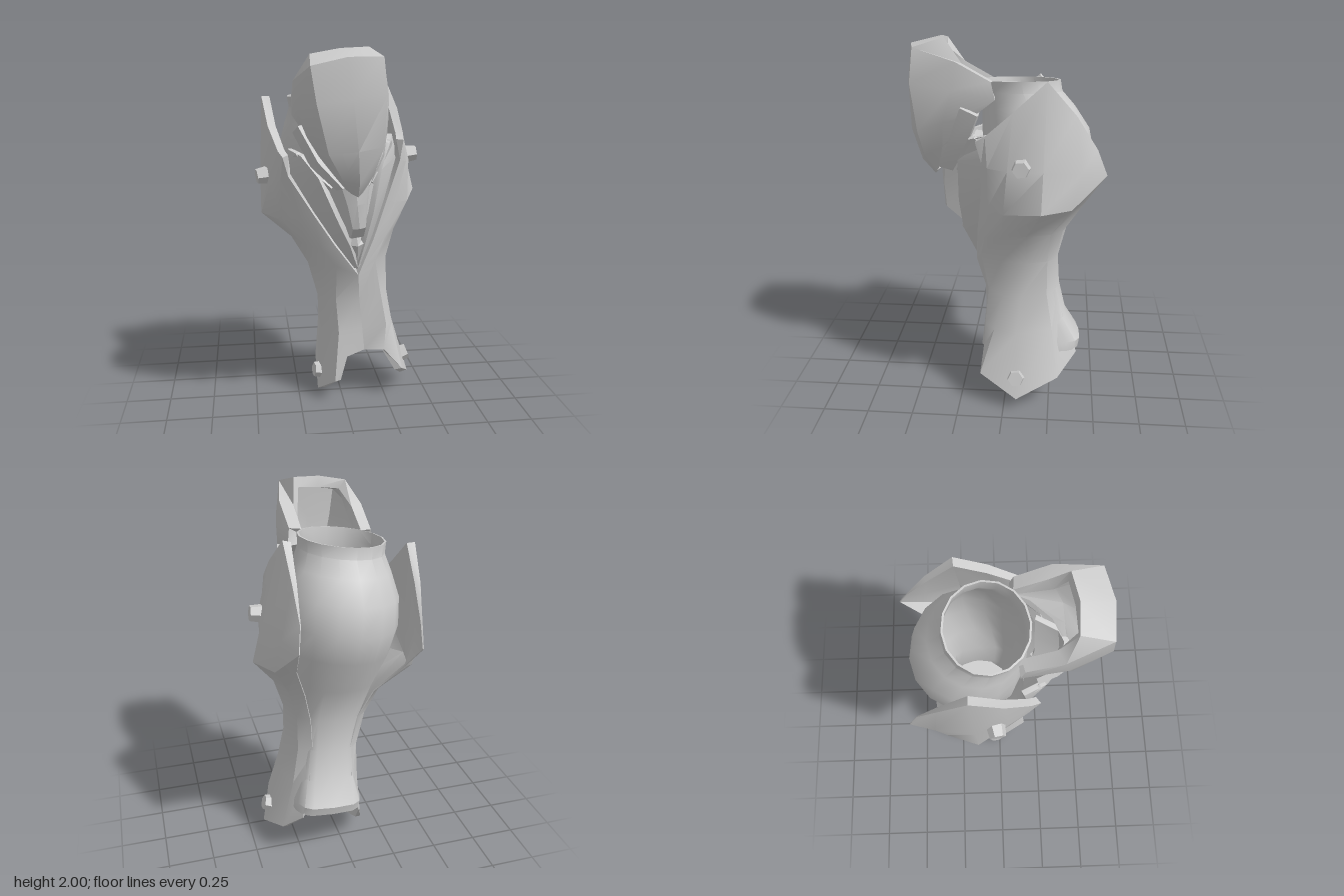
import * as THREE from 'three';
import { toCreasedNormals } from 'three/addons/utils/BufferGeometryUtils.js';

const grey = new THREE.MeshStandardMaterial({ color: 0xcccccc, side: THREE.DoubleSide });
const greyFlat = new THREE.MeshStandardMaterial({ color: 0xcccccc, flatShading: true });

const mirrorRow = row => row.map(([x, y, z]) => [-x, y, z]).reverse();
const mirrorHalf = rows => rows.map(mirrorRow);
// Complete rows that start on the centre line
const bothSides = rows => rows.map(r => [...mirrorRow(r.slice(1)), ...r]);

// Plate from a grid of points (rows upward, columns front to back round +x);
// thickness(c) gives the depth at column c
function plate(name, rows, thickness, crease = 0.6) {
  const R = rows.length, C = rows[0].length, n = R * C;
  const outer = rows.flat(2);
  const at = (r, c) => r * C + c;
  const index = [];
  const quad = (a, b, c, d) => index.push(a, b, c, a, c, d);
  for (let r = 0; r < R - 1; r++)
    for (let c = 0; c < C - 1; c++) quad(at(r, c), at(r, c + 1), at(r + 1, c + 1), at(r + 1, c));

  const skin = new THREE.BufferGeometry();
  skin.setAttribute('position', new THREE.Float32BufferAttribute(outer, 3));
  skin.setIndex([...index]);
  skin.computeVertexNormals();
  const normals = skin.attributes.normal.array;
  const inner = outer.map((v, i) => v - normals[i] * thickness(Math.floor(i / 3) % C));

  for (let i = 0, k = index.length; i < k; i += 3) index.push(index[i] + n, index[i + 2] + n, index[i + 1] + n);
  // Rims
  for (let c = 0; c < C - 1; c++) {
    const a = at(0, c), b = at(0, c + 1), d = at(R - 1, c), e = at(R - 1, c + 1);
    quad(a + n, b + n, b, a);
    quad(d, e, e + n, d + n);
  }
  for (let r = 0; r < R - 1; r++) {
    const a = at(r, 0), b = at(r + 1, 0), d = at(r, C - 1), e = at(r + 1, C - 1);
    quad(a, b, b + n, a + n);
    quad(d, d + n, e + n, e);
  }
  const geo = new THREE.BufferGeometry();
  geo.setAttribute('position', new THREE.Float32BufferAttribute([...outer, ...inner], 3));
  geo.setIndex(index);
  const mesh = new THREE.Mesh(toCreasedNormals(geo, crease), grey);
  mesh.name = name;
  return mesh;
}

// Calf sections: height, half width, front z, back z
const calfSections = [
  [0.27, 0.2, 0.02, -0.41], [0.32, 0.195, 0.02, -0.42], [0.45, 0.16, 0.03, -0.34], [0.62, 0.145, 0.05, -0.3],
  [0.8, 0.18, 0.08, -0.29], [1.0, 0.24, 0.1, -0.35], [1.2, 0.29, 0.12, -0.45],
  [1.35, 0.31, 0.13, -0.48], [1.5, 0.3, 0.13, -0.45], [1.62, 0.26, 0.13, -0.37],
  [1.7, 0.23, 0.13, -0.3], [1.76, 0.235, 0.14, -0.29],
];
// Boxy near the ankle, round at the top
function calfRows() {
  const sides = 16;
  return calfSections.map(([y, rx, zf, zb]) => {
    const e = THREE.MathUtils.clamp(0.5 + (y - 0.7) * 1.2, 0.5, 1);
    const soft = v => Math.sign(v) * Math.abs(v) ** e;
    return Array.from({ length: sides + 1 }, (_, i) => {
      const a = (i % sides) / sides * Math.PI * 2;
      return [rx * soft(Math.sin(a)), y, (zf + zb) / 2 + (zf - zb) / 2 * soft(Math.cos(a))];
    });
  });
}

// Half of the outer shin, ankle flap to side wing, with the V opening at the front
const shinHalf = [
  [[0, .28, .10], [.11, .27, .13], [.20, .14, .15], [.28, .02, -.05], [.24, .13, -.28], [.17, .26, -.39]],
  [[0, .42, .11], [.14, .42, .12], [.185, .40, .07], [.215, .38, -.05], [.195, .40, -.25], [.13, .42, -.325]],
  [[0, .60, .12], [.13, .62, .10], [.185, .60, .02], [.205, .60, -.08], [.175, .60, -.22], [.11, .60, -.28]],
  [[0, .76, .17], [.11, .82, .14], [.20, .80, .03], [.235, .80, -.10], [.20, .80, -.22], [.14, .80, -.27]],
  [[.11, .95, .16], [.18, .93, .12], [.26, .95, .03], [.31, .97, -.10], [.27, .97, -.23], [.20, .97, -.30]],
  [[.21, 1.15, .14], [.27, 1.12, .10], [.36, 1.10, .02], [.455, 1.12, -.17], [.385, 1.13, -.33], [.30, 1.16, -.41]],
  [[.31, 1.36, .13], [.35, 1.34, .10], [.395, 1.33, 0], [.43, 1.33, -.18], [.385, 1.32, -.38], [.335, 1.30, -.51]],
  [[.33, 1.47, .16], [.345, 1.50, .11], [.365, 1.62, -.03], [.36, 1.77, -.20], [.345, 1.60, -.35], [.325, 1.43, -.46]],
];
const shinDepth = [0.04, 0.04, 0.045, 0.045, 0.03, 0.006];

// Knee cap from the tip up, folding back into a broad top rim
const kneeHalf = [
  [[0, 1.25, .39], [.03, 1.27, .38], [.06, 1.30, .36], [.08, 1.33, .33]],
  [[0, 1.33, .46], [.08, 1.36, .44], [.13, 1.42, .34], [.15, 1.45, .28]],
  [[0, 1.50, .515], [.14, 1.50, .47], [.20, 1.55, .33], [.21, 1.60, .15]],
  [[0, 1.75, .525], [.175, 1.75, .50], [.24, 1.72, .28], [.24, 1.67, .06]],
  [[0, 1.95, .505], [.18, 1.93, .48], [.24, 1.86, .26], [.235, 1.76, .08]],
  [[0, 1.99, .34], [.15, 1.98, .32], [.17, 1.85, .23], [.17, 1.76, .07]],
];

// Lining strip inside the V opening
const collarHalf = [
  [[0, .80, .17], [.03, .80, .13]],
  [[.04, .95, .24], [.11, .97, .14]],
  [[.10, 1.12, .26], [.20, 1.15, .12]],
  [[.17, 1.35, .26], [.30, 1.38, .10]],
  [[.24, 1.47, .20], [.29, 1.50, .08]],
];

// Keel closing the foot of the lining
const keelHalf = [
  [[0, .82, .17], [.02, .84, .15]],
  [[0, .95, .25], [.05, .96, .23]],
  [[0, 1.0, .24], [.06, 1.01, .20]],
];

const tongueHalf = [
  [[0, 1.0, .25], [.035, 1.0, .25], [.05, 1.01, .19]],
  [[0, 1.07, .34], [.035, 1.07, .33], [.065, 1.08, .2]],
  [[0, 1.2, .35], [.05, 1.2, .34], [.1, 1.22, .2]],
  [[0, 1.36, .36], [.08, 1.36, .33], [.15, 1.4, .2]],
];

const guardHalf = [
  [[.07, 1.30, .37], [.09, 1.28, .29]],
  [[.17, 1.44, .31], [.20, 1.41, .22]],
  [[.24, 1.63, .24], [.26, 1.59, .15]],
];
const lowerGuardHalf = [
  [[.11, 1.29, .27], [.13, 1.27, .23]],
  [[.19, 1.38, .23], [.22, 1.35, .17]],
  [[.26, 1.48, .17], [.28, 1.45, .11]],
];

function bolt(name, x, y, z, dir) {
  const geo = new THREE.CylinderGeometry(0.042, 0.05, 0.06, 6);
  const mesh = new THREE.Mesh(geo, greyFlat);
  mesh.name = name;
  mesh.position.set(x, y, z);
  mesh.quaternion.setFromUnitVectors(new THREE.Vector3(0, 1, 0), dir.normalize());
  return mesh;
}

export function createModel() {
  const model = new THREE.Group();
  model.name = 'legArmour';
  const leg = new THREE.Group();
  leg.name = 'leg';
  model.add(leg);

  leg.add(plate('calf', calfRows(), () => 0.01));
  leg.add(plate('kneeCap', bothSides(kneeHalf), () => 0.06));
  leg.add(plate('tongue', bothSides(tongueHalf), () => 0.03, 0.4));
  leg.add(plate('keel', bothSides(keelHalf), () => 0.03, 0.4));

  // Floor closing the narrow part of the calf
  const floor = new THREE.Mesh(new THREE.CylinderGeometry(1, 1, 0.02, 12).scale(0.14, 1, 0.17), greyFlat);
  floor.name = 'innerFloor';
  floor.position.set(0, 0.62, -0.125);
  leg.add(floor);

  // Paired plates
  const pairs = [
    ['Collar', collarHalf, 0.03], ['KneeGuard', guardHalf, 0.03], ['LowerKneeGuard', lowerGuardHalf, 0.025],
  ];
  for (const [name, rows, t] of pairs) {
    leg.add(plate('left' + name, rows, () => t));
    leg.add(plate('right' + name, mirrorHalf(rows), () => t));
  }
  leg.add(plate('leftShin', shinHalf, c => shinDepth[c]));
  leg.add(plate('rightShin', mirrorHalf(shinHalf), c => shinDepth[shinDepth.length - 1 - c]));

  // Bolts at the wings and ankle flaps
  for (const [side, s] of [['left', 1], ['right', -1]]) {
    leg.add(bolt(side + 'WingBolt', s * 0.43, 1.35, -0.07, new THREE.Vector3(s, 0, 0.1)));
    leg.add(bolt(side + 'AnkleBolt', s * 0.26, 0.14, -0.05, new THREE.Vector3(s, 0.25, 0.1)));
  }

  // The whole leg leans and turns slightly
  leg.rotation.set(0, 0.08, 0.115, 'YXZ');
  leg.position.set(0.15, 0.015, 0);
  return model;
}
